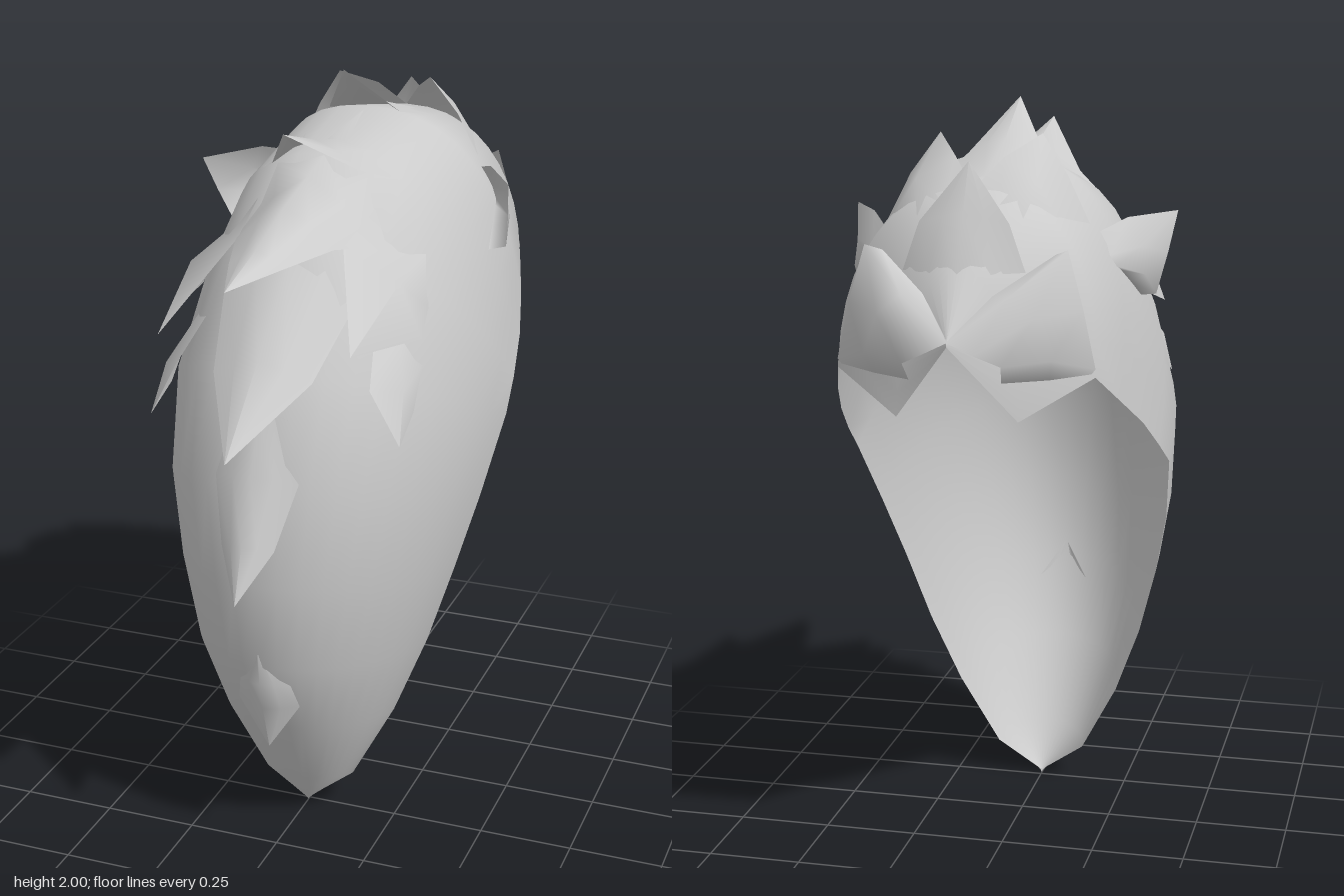
import * as THREE from 'three';

const material = new THREE.MeshStandardMaterial({ color: 0xcccccc, side: THREE.DoubleSide });
const centre = new THREE.Vector3(0, 1.15, 0);

// Smooth open surface lofted through rows of equally many [x, y, z] points
function sheet(name, rows) {
  const n = rows[0].length, index = [];
  for (let i = 0; i < rows.length - 1; i++) {
    for (let j = 0; j < n - 1; j++) {
      const a = i * n + j, b = a + n;
      index.push(a, a + 1, b, b, a + 1, b + 1);
    }
  }
  const geometry = new THREE.BufferGeometry();
  geometry.setAttribute('position', new THREE.Float32BufferAttribute(rows.flat(2), 3));
  geometry.setIndex(index);
  geometry.computeVertexNormals();
  // Make the normals and winding face away from the inside of the shell
  const p = geometry.attributes.position, m = geometry.attributes.normal;
  let facing = 0;
  for (let i = 0; i < p.count; i++) {
    facing += p.getX(i) * m.getX(i) + (p.getY(i) - 1.1) * m.getY(i) + (p.getZ(i) + 0.1) * m.getZ(i);
  }
  if (facing < 0) {
    for (let i = 0; i < index.length; i += 3) [index[i], index[i + 1]] = [index[i + 1], index[i]];
    geometry.setIndex(index);
    geometry.computeVertexNormals();
  }
  const mesh = new THREE.Mesh(geometry, material);
  mesh.name = name;
  return mesh;
}

// Open shell: half-ellipse sections from rim to rim over the centre line
function createShell() {
  // rim x, y, z, centre y, z, roundness exponent
  const sections = [
    [0, 0.01, 0.26, 0, 0.26, 2],
    [0.125, 0.1, 0.24, 0.13, 0.36, 2],
    [0.23, 0.3, 0.2, 0.36, 0.5, 2],
    [0.305, 0.5, 0.15, 0.58, 0.6, 2],
    [0.36, 0.7, 0.09, 0.82, 0.63, 2.05],
    [0.4, 0.88, 0, 1.08, 0.62, 2.2],
    [0.427, 1.07, -0.14, 1.36, 0.54, 2.2],
    [0.415, 1.14, -0.25, 1.63, 0.34, 2.2],
    [0.395, 1.22, -0.37, 1.81, 0.12, 2.2],
    [0.36, 1.3, -0.5, 1.87, -0.2, 2.4],
    [0.32, 1.38, -0.62, 1.81, -0.53, 2.3],
    [0.15, 1.28, -0.7, 1.64, -0.68, 2],
    [0, 1.47, -0.79, 1.48, -0.79, 2],
  ];
  const steps = 20;
  return sheet('shell', sections.map(([x, y, z, cy, cz, e]) =>
    Array.from({ length: steps + 1 }, (_, j) => {
      const a = Math.PI * j / steps;
      const c = Math.cos(a), s = Math.pow(Math.max(0, Math.sin(a)), 2 / e);
      return [x * Math.sign(c) * Math.pow(Math.abs(c), 2 / e), y + (cy - y) * s, z + (cz - z) * s];
    })));
}

// Feather surface whose points inside the shell are moved out to rest on it
function feather(name, rows, shell) {
  return sheet(name, rows.map(row => row.map(point => {
    const offset = new THREE.Vector3(...point).sub(centre);
    const hit = new THREE.Raycaster(centre, offset.clone().normalize()).intersectObject(shell)[0];
    return hit && hit.distance > offset.length() ? hit.point.toArray() : point;
  })));
}

// Centre feather rows from [half width, edge y, edge z, ridge y, ridge z] ending in a tip
function centreRows(rows, [ty, tz]) {
  const points = rows.map(([w, y, z, ry, rz]) => [
    [w, y, z], [w / 2, y + (ry - y) * 0.65, z + (rz - z) * 0.65], [0, ry, rz],
    [-w / 2, y + (ry - y) * 0.65, z + (rz - z) * 0.65], [-w, y, z],
  ]);
  points.push(Array.from({ length: 5 }, () => [0, ty, tz]));
  return points;
}

export function createModel() {
  const model = new THREE.Group();
  const shell = createShell();
  model.add(shell);

  // Feathers along the centre line, from the nape over the crown and down the front
  const central = {
    napePeak: centreRows([
      [0.15, 1.62, -0.62, 1.62, -0.68],
      [0.11, 1.74, -0.62, 1.76, -0.63],
    ], [1.88, -0.57]),
    crownSpike: centreRows([
      [0.12, 1.79, -0.4, 1.82, -0.42],
      [0.1, 1.865, -0.18, 1.9, -0.2],
    ], [2, -0.02]),
    crestFeather: centreRows([
      [0.24, 1.65, -0.14, 1.8, -0.16],
      [0.2, 1.7, 0.04, 1.83, 0.03],
      [0.12, 1.79, 0.18, 1.86, 0.18],
    ], [1.92, 0.4]),
    foreheadFeather: centreRows([
      [0.22, 1.57, 0.12, 1.73, 0.08],
      [0.18, 1.61, 0.25, 1.78, 0.24],
      [0.13, 1.645, 0.4, 1.74, 0.4],
      [0.07, 1.64, 0.58, 1.68, 0.58],
    ], [1.63, 0.77]),
    upperChestFeather: centreRows([
      [0.17, 1.5, 0.32, 1.57, 0.34],
      [0.13, 1.35, 0.55, 1.4, 0.58],
    ], [1.21, 0.79]),
    middleChestFeather: centreRows([
      [0.07, 1.25, 0.55, 1.27, 0.57],
      [0.11, 1.1, 0.59, 1.12, 0.635],
      [0.07, 0.94, 0.66, 0.96, 0.7],
    ], [0.82, 0.75]),
    lowerChestFeather: centreRows([
      [0.01, 0.61, 0.6, 0.62, 0.605],
      [0.07, 0.52, 0.56, 0.53, 0.6],
      [0.085, 0.45, 0.535, 0.45, 0.58],
    ], [0.32, 0.54]),
  };
  for (const [name, rows] of Object.entries(central)) model.add(feather(name, rows, shell));

  // Paired feathers, given for the left side and mirrored; the flaps curl back to the shell
  const paired = {
    BrowFeather: [
      [[0.13, 1.6, 0.15], [0.26, 1.55, 0.12], [0.31, 1.46, 0.2]],
      [[0.14, 1.64, 0.36], [0.28, 1.56, 0.34], [0.335, 1.42, 0.33]],
      [[0.25, 1.45, 0.61], [0.25, 1.45, 0.61], [0.25, 1.45, 0.61]],
    ],
    CheekFeather: [
      [[0.22, 1.42, 0.36], [0.26, 1.4, 0.3], [0.3, 1.32, 0.26]],
      [[0.26, 1.33, 0.5], [0.32, 1.31, 0.42], [0.33, 1.24, 0.37]],
      [[0.335, 1.19, 0.49], [0.335, 1.19, 0.49], [0.335, 1.19, 0.49]],
    ],
    EarFeather: [
      [[0.27, 1.68, -0.34], [0.3, 1.63, -0.36], [0.3, 1.58, -0.33], [0.3, 1.56, -0.3]],
      [[0.33, 1.72, -0.26], [0.37, 1.65, -0.28], [0.38, 1.58, -0.28], [0.33, 1.54, -0.24]],
      [[0.43, 1.72, -0.08], [0.415, 1.62, -0.14], [0.395, 1.52, -0.2], [0.35, 1.51, -0.18]],
    ],
    CrownFlap: [
      [[0, 1.8, -0.52], [0.07, 1.77, -0.55], [0.13, 1.74, -0.56], [0.13, 1.7, -0.54]],
      [[0.06, 1.88, -0.46], [0.15, 1.83, -0.5], [0.2, 1.74, -0.51], [0.18, 1.68, -0.46]],
      [[0.13, 1.93, -0.34], [0.2, 1.83, -0.37], [0.25, 1.7, -0.37], [0.22, 1.68, -0.35]],
    ],
    NapeFlap: [
      [[0, 1.49, -0.76], [0, 1.48, -0.79], [0.06, 1.45, -0.78], [0.12, 1.42, -0.75], [0.11, 1.37, -0.7]],
      [[0.08, 1.55, -0.64], [0.13, 1.58, -0.72], [0.19, 1.53, -0.72], [0.23, 1.43, -0.7], [0.21, 1.37, -0.64]],
      [[0.2, 1.63, -0.54], [0.25, 1.68, -0.61], [0.29, 1.54, -0.62], [0.32, 1.4, -0.62], [0.3, 1.38, -0.6]],
    ],
  };
  for (const [name, rows] of Object.entries(paired)) {
    for (const [side, s] of [['left', 1], ['right', -1]]) {
      model.add(feather(side + name, rows.map(row => row.map(([x, y, z]) => [s * x, y, z])), shell));
    }
  }
  return model;
}
